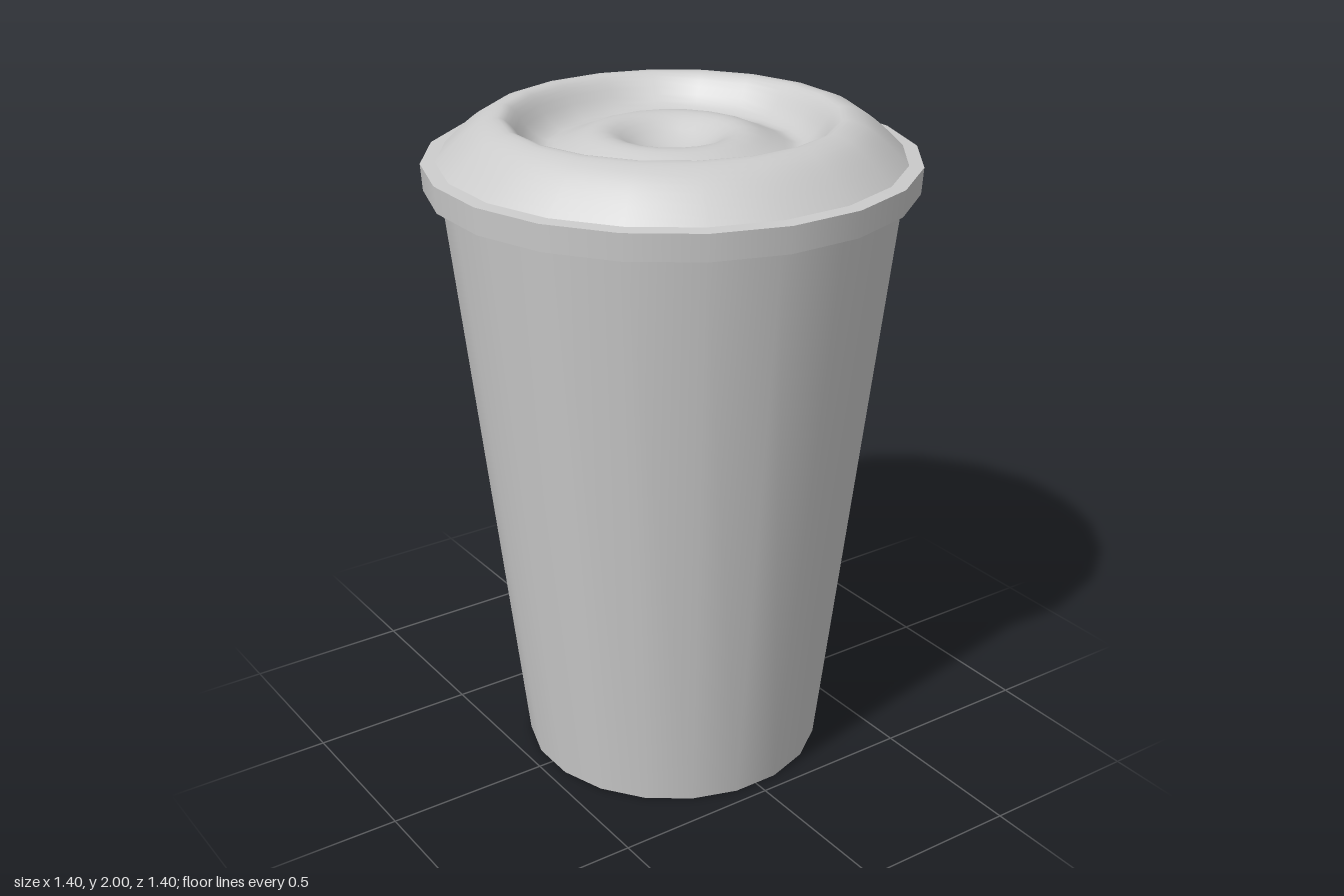
import * as THREE from 'three';

const SIDES = 20;
const material = new THREE.MeshStandardMaterial({ color: 0xcccccc });

const toPoints = (pairs) => pairs.map(([r, y]) => new THREE.Vector2(r, y));

// One smooth band of revolution; separate bands meet in sharp edges.
// Profiles run from the bottom axis, up the outside, to the top axis.
function band(name, points) {
  const geometry = new THREE.LatheGeometry(points, SIDES, Math.PI / SIDES);
  const mesh = new THREE.Mesh(geometry, material);
  mesh.name = name;
  return mesh;
}

export function createModel() {
  const model = new THREE.Group();
  model.name = 'takeawayCup';

  // Tapered cup with a flat base
  const cup = new THREE.Group();
  cup.name = 'cup';
  cup.add(
    band('cupBase', toPoints([[0, 0], [0.457, 0]])),
    band('cupWall', toPoints([[0.457, 0], [0.658, 1.8]])),
  );

  // Lid rim: underside, outer band and narrow ledge
  const lid = new THREE.Group();
  lid.name = 'lid';
  lid.add(
    band('rimUnderside', toPoints([[0.655, 1.8], [0.705, 1.8]])),
    band('rimBand', toPoints([[0.705, 1.8], [0.71, 1.877]])),
    band('rimLedge', toPoints([[0.71, 1.877], [0.668, 1.88]])),
  );

  // Lid top: raised ring, sunken channel, low inner ring and centre dimple
  const profile = new THREE.SplineCurve(toPoints([
    [0.668, 1.88], [0.6, 1.945], [0.545, 1.985], [0.49, 2], [0.455, 1.98], [0.41, 1.925],
    [0.36, 1.9], [0.3, 1.92], [0.23, 1.948], [0.17, 1.945], [0.1, 1.905],
    [0.04, 1.885], [0, 1.884],
  ]));
  lid.add(band('lidTop', profile.getPoints(36)));

  model.add(cup, lid);
  return model;
}
